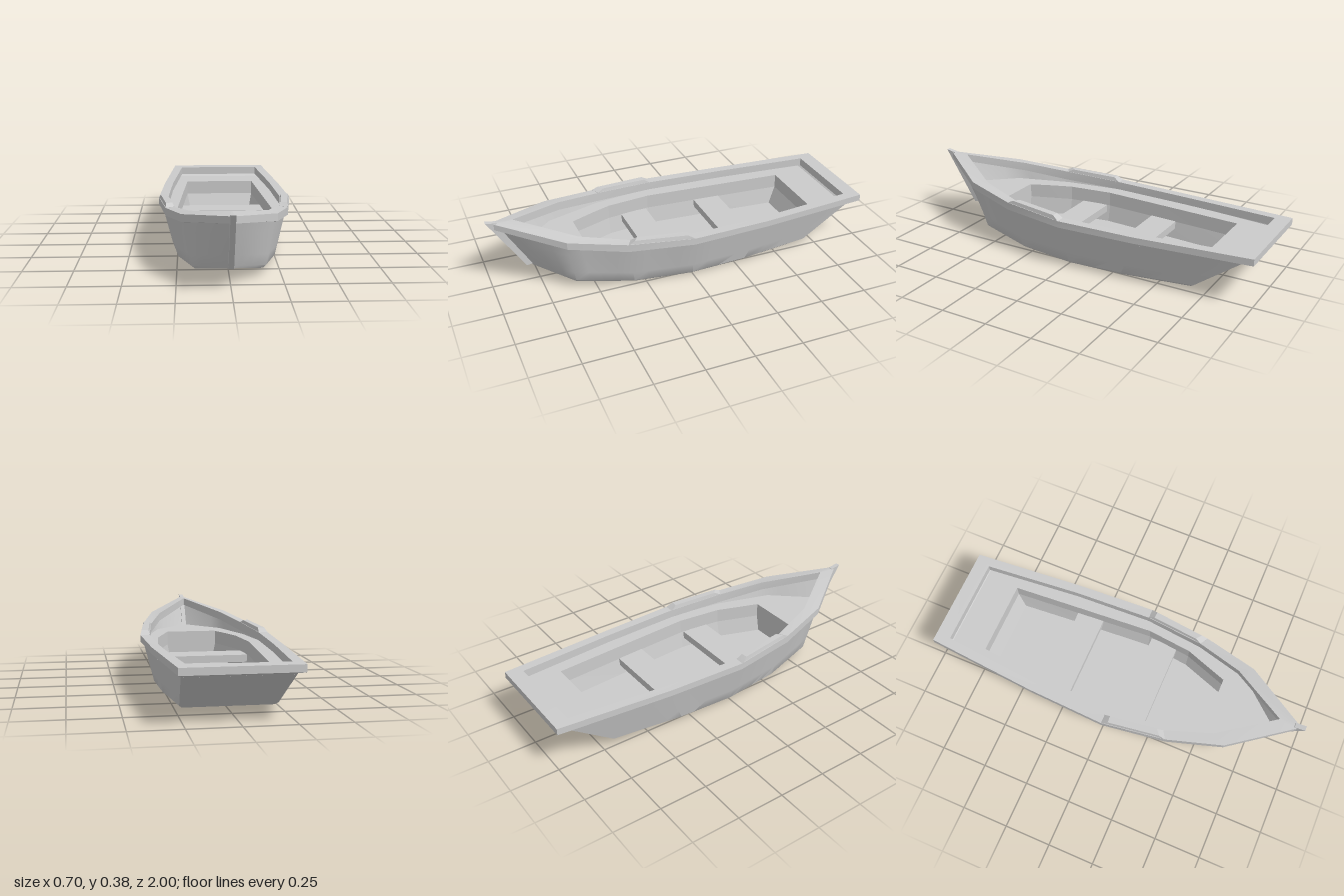
import * as THREE from 'three';
import { toCreasedNormals } from 'three/addons/utils/BufferGeometryUtils.js';

const material = new THREE.MeshStandardMaterial({ color: 0xcccccc });
const thin = new THREE.MeshStandardMaterial({ color: 0xcccccc, side: THREE.DoubleSide });

const lerp = THREE.MathUtils.lerp;
const mix = (a, b, t) => a.map((v, k) => lerp(v, b[k], t));
const mirror = ([x, y, z]) => [-x, y, z];
// Full row from its right-hand half: forward, then mirrored back.
const both = half => [...half, ...half.map(mirror).reverse()];

// Skins rows of points; loops can close along or across, ends can be capped.
function skin(name, rows, { along = false, across = false, caps = false, crease = 0.3, mat = material } = {}) {
  const out = [];
  const n = rows.length, m = rows[0].length;
  const tri = (...pts) => pts.forEach(p => out.push(...p));
  for (let i = 0; i < (along ? n : n - 1); i++) {
    for (let j = 0; j < (across ? m : m - 1); j++) {
      const a = rows[i][j], b = rows[(i + 1) % n][j];
      const c = rows[(i + 1) % n][(j + 1) % m], d = rows[i][(j + 1) % m];
      tri(a, b, c);
      tri(a, c, d);
    }
  }
  if (caps) {
    const s = rows[0], e = rows[n - 1];
    for (let k = 1; k < m - 1; k++) {
      tri(s[0], s[k], s[k + 1]);
      tri(e[0], e[k + 1], e[k]);
    }
  }
  const geometry = new THREE.BufferGeometry();
  geometry.setAttribute('position', new THREE.Float32BufferAttribute(out, 3));
  const mesh = new THREE.Mesh(toCreasedNormals(geometry, crease), mat);
  mesh.name = name;
  return mesh;
}

// Hull stations, stern to bow: top edge and chine, each [x, y, z].
const sheer = [[0.262, 0.23, -0.95], [0.315, 0.228, -0.4], [0.335, 0.228, 0.02],
  [0.288, 0.24, 0.36], [0.205, 0.277, 0.65], [0.006, 0.345, 0.94]];
const chine = [[0.222, 0.017, -0.67], [0.255, 0.004, -0.3], [0.265, 0, 0],
  [0.232, 0.006, 0.31], [0.162, 0.036, 0.6], [0.006, 0.09, 0.785]];

function hull() {
  const stations = sheer.map((top, i) => {
    const low = chine[i];
    const bevel = mix(low, top, 0.06);
    if (i < sheer.length - 1) bevel[0] += 0.011;
    return both([0, 0.25, 0.5, 0.75, 1].map(t => mix(top, bevel, t)).concat([low]));
  });
  // Steps between stations keep the twisting sides smooth
  const rows = stations.slice(0, -1).flatMap((row, i) =>
    [0, 0.25, 0.5, 0.75].map(t => row.map((p, j) => mix(p, stations[i + 1][j], t))));
  return skin('hull', [...rows, stations.at(-1)], { caps: true, crease: 0.6, mat: thin });
}

// Rail stations: outer x, outer z, inner x, inner z, bottom y, top y.
const railStations = [
  [0.28, -1, 0.235, -0.92, 0.23, 0.265],
  [0.33, -0.4, 0.283, -0.4, 0.226, 0.259],
  [0.35, 0.02, 0.3, 0.02, 0.227, 0.262],
  [0.305, 0.36, 0.262, 0.335, 0.239, 0.279],
  [0.225, 0.65, 0.185, 0.58, 0.276, 0.313],
  [0.012, 0.96, 0.002, 0.86, 0.34, 0.372]];

// Rail with an underside that slopes down towards the hull
function rail() {
  const half = railStations.map(([ox, oz, ix, iz, lo, hi]) => [
    [ox, hi, oz], [ox, lo, oz],
    [lerp(ox, ix, 0.4), lo - 0.009, lerp(oz, iz, 0.4)],
    [ix, lo - 0.009, iz], [ix, hi, iz]]);
  const other = half.map(r => r.map(mirror)).reverse();
  return skin('gunwaleRail', [...half, ...other], { along: true, across: true });
}

// Flat deck around an open well: upright lip, then walls sloping to the floor.
function interior() {
  const deckY = 0.207, lipY = 0.13, floorY = 0.04;
  const edge = [[0.255, -0.92], [0.31, -0.4], [0.328, 0.02], [0.282, 0.345], [0.193, 0.635], [0.003, 0.852]];
  const well = [[0.2, -0.735], [0.226, -0.35], [0.252, 0.05], [0.226, 0.29], [0.187, 0.4], [0.145, 0.52]];
  const floor = well.map(([x, z], i) => [x - 0.018, floorY, i === 0 ? z + 0.042 : z]);
  const level = (outline, y) => both(outline.map(([x, z]) => [x, y, z]));
  const group = new THREE.Group();
  group.name = 'interior';
  group.add(
    skin('deck', [level(edge, deckY), level(well, deckY)], { across: true, mat: thin }),
    skin('wellWalls', [level(well, deckY), level(well, lipY), both(floor)], { across: true, crease: 0.15, mat: thin }),
    skin('floor', [floor, floor.map(mirror)], { mat: thin }));
  return group;
}

// Raised oar rest with sloped ends on the side rail.
function oarRest(side) {
  const rows = [[0, 0.262], [0.1, 0.284], [0.9, 0.295], [1, 0.28]].map(([t, top], i) => {
    const ox = lerp(0.35, 0.305, t), oz = lerp(0.02, 0.36, t);
    const ix = lerp(0.3, 0.262, t), iz = lerp(0.02, 0.335, t);
    const taper = i === 1 || i === 2 ? 0.007 : 0;
    const base = lerp(0.25, 0.265, t);
    return [[ix + taper, top, iz], [ox - taper, top, oz], [ox, base, oz], [ix, base, iz]];
  });
  const placed = side > 0 ? rows : rows.map(r => r.map(mirror).reverse());
  return skin(side > 0 ? 'leftOarRest' : 'rightOarRest', placed, { across: true, caps: true });
}

// Raking stem post at the bow.
function stem() {
  const profile = [[1, 0.385], [0.945, 0.375], [0.765, 0.103], [0.815, 0.095]];
  const shape = new THREE.Shape(profile.map(([z, y]) => new THREE.Vector2(-z, y)));
  const geometry = new THREE.ExtrudeGeometry(shape, { depth: 0.025, bevelEnabled: false });
  geometry.translate(0, 0, -0.0125).rotateY(Math.PI / 2);
  const mesh = new THREE.Mesh(geometry, material);
  mesh.name = 'stemPost';
  return mesh;
}

export function createModel() {
  const boat = new THREE.Group();
  boat.name = 'rowingBoat';
  boat.add(hull(), rail(), interior(), stem(), oarRest(1), oarRest(-1));

  // Two thwarts resting at the foot of the well's lip
  for (const [name, z, width] of [['rearThwart', -0.3, 0.47], ['frontThwart', 0.14, 0.49]]) {
    const thwart = new THREE.Mesh(new THREE.BoxGeometry(width, 0.04, 0.15), material);
    thwart.name = name;
    thwart.position.set(0, 0.112, z);
    boat.add(thwart);
  }
  return boat;
}
